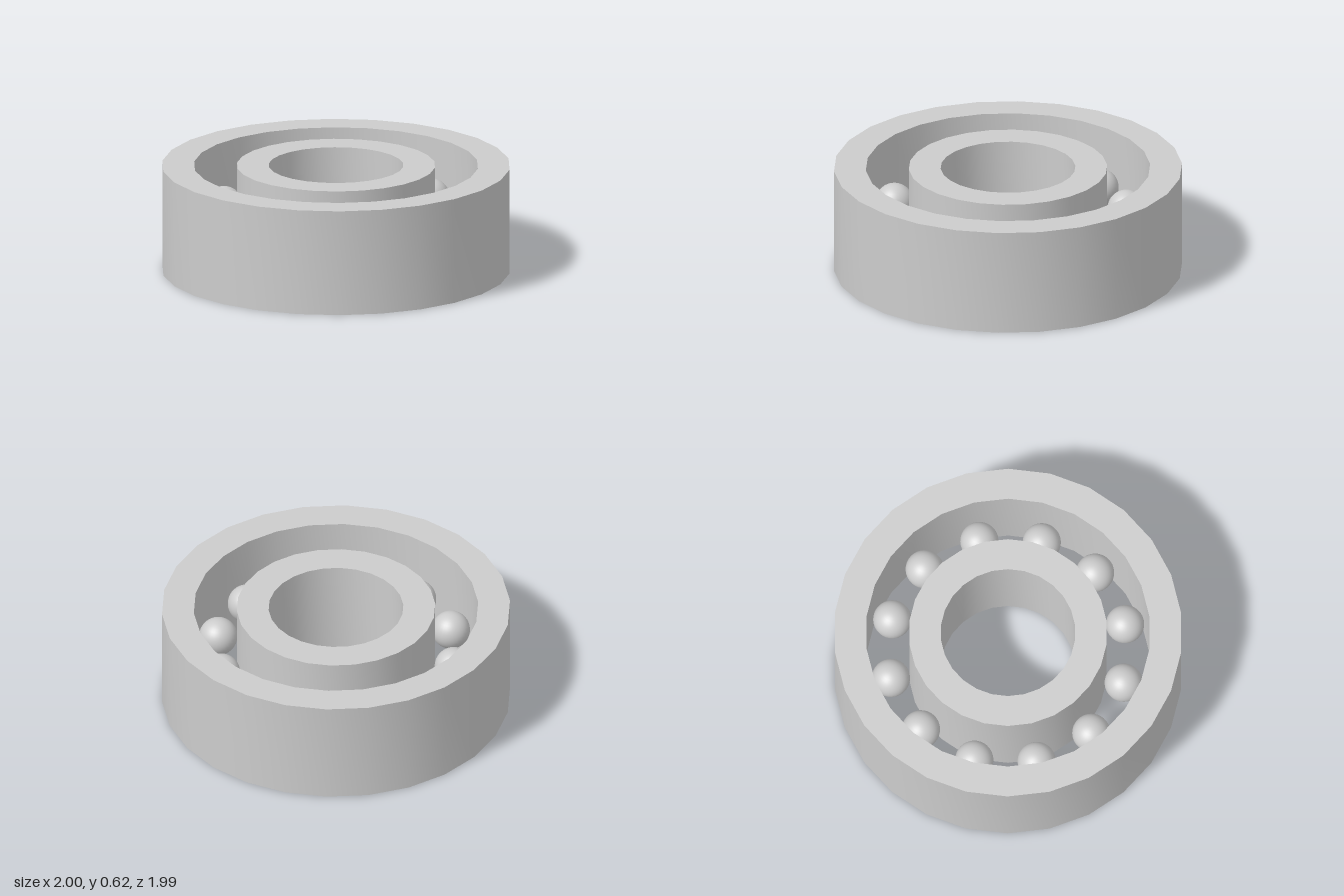
import * as THREE from 'three';
import { toCreasedNormals } from 'three/addons/utils/BufferGeometryUtils.js';

const HEIGHT = 0.617;
const RING_SIDES = 26;
const BALL_COUNT = 12;
const BALL_RADIUS = 0.11;
const BALL_ORBIT = 0.691;

const steel = new THREE.MeshStandardMaterial({ color: 0xcccccc });
steel.name = 'steel';

// Straight-walled ring with a rectangular section and a corner on the +x axis
function makeRing(name, inner, outer) {
  const profile = [
    [inner, 0], [outer, 0], [outer, HEIGHT], [inner, HEIGHT], [inner, 0],
  ].map(([r, y]) => new THREE.Vector2(r, y));
  const lathe = new THREE.LatheGeometry(profile, RING_SIDES, Math.PI / 2);
  const ring = new THREE.Mesh(toCreasedNormals(lathe, Math.PI / 6), steel);
  ring.name = name;
  return ring;
}

export function createModel() {
  const bearing = new THREE.Group();
  bearing.name = 'ballBearing';

  // Races
  bearing.add(makeRing('outerRing', 0.817, 1));
  bearing.add(makeRing('innerRing', 0.387, 0.57));

  // Balls spaced evenly between the races
  const balls = new THREE.Group();
  balls.name = 'balls';
  const ballGeometry = new THREE.SphereGeometry(BALL_RADIUS, 32, 20);
  for (let i = 0; i < BALL_COUNT; i++) {
    const angle = (i / BALL_COUNT) * Math.PI * 2;
    const ball = new THREE.Mesh(ballGeometry, steel);
    ball.name = `ball${i + 1}`;
    ball.position.set(Math.cos(angle) * BALL_ORBIT, HEIGHT / 2, Math.sin(angle) * BALL_ORBIT);
    balls.add(ball);
  }
  bearing.add(balls);

  return bearing;
}
